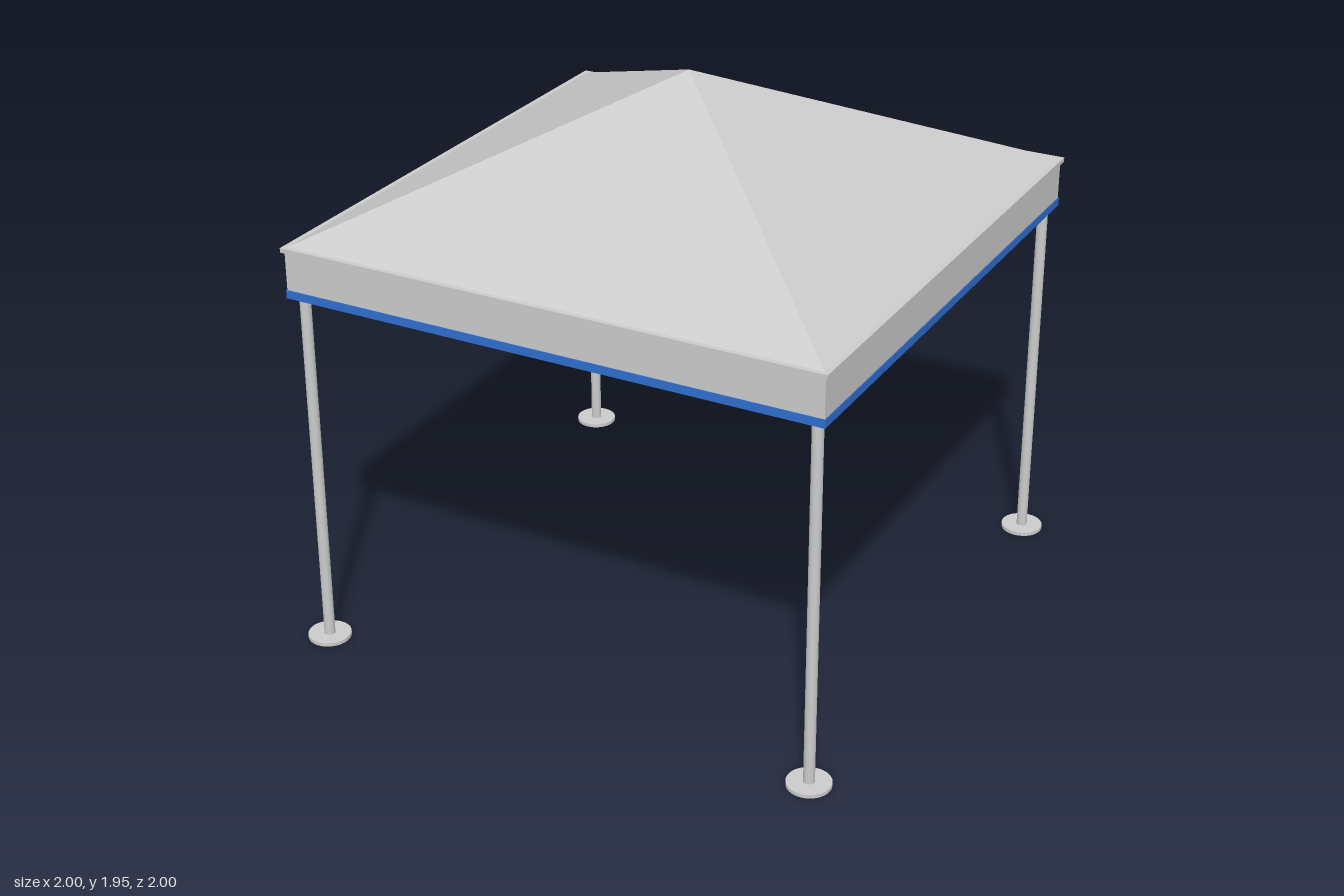
import * as THREE from 'three';

const grey = new THREE.MeshStandardMaterial({ color: 0xcccccc });
const canvas = new THREE.MeshStandardMaterial({ color: 0xcccccc, flatShading: true, side: THREE.DoubleSide });
const blue = new THREE.MeshStandardMaterial({ color: 0x2f6fd0 });

function part(name, geometry, material, x = 0, y = 0, z = 0) {
  const mesh = new THREE.Mesh(geometry, material);
  mesh.name = name;
  mesh.position.set(x, y, z);
  return mesh;
}

// Square band standing between y0 and y1, open in the middle
function squareBand(half, thickness, y0, y1) {
  const square = (Target, h) =>
    new Target([[-h, -h], [h, -h], [h, h], [-h, h]].map(([x, y]) => new THREE.Vector2(x, y)));
  const shape = square(THREE.Shape, half);
  shape.holes.push(square(THREE.Path, half - thickness));
  const geometry = new THREE.ExtrudeGeometry(shape, { depth: y1 - y0, bevelEnabled: false });
  return geometry.rotateX(-Math.PI / 2).translate(0, y0, 0);
}

export function createModel() {
  const model = new THREE.Group();
  model.name = 'canopyTent';

  // Hollow four-sided roof
  const eaveY = 1.475, apexY = 1.945, half = 0.965;
  const roof = new THREE.ConeGeometry(half * Math.SQRT2, apexY - eaveY, 4, 1, true);
  roof.rotateY(Math.PI / 4);
  model.add(part('roof', roof, canvas, 0, (eaveY + apexY) / 2, 0));

  // Eave trim, hanging valance and its coloured hem
  model.add(part('eaveTrim', squareBand(0.974, 0.02, 1.463, 1.479), grey));
  model.add(part('valance', squareBand(0.964, 0.015, 1.325, 1.465), grey));
  model.add(part('valanceHem', squareBand(0.967, 0.021, 1.3, 1.329), blue));

  // Legs with round foot plates
  const postTop = 1.305, inset = 0.925;
  const postGeometry = new THREE.CylinderGeometry(0.019, 0.019, postTop, 24);
  const footGeometry = new THREE.CylinderGeometry(0.075, 0.075, 0.013, 32);
  for (const sx of [-1, 1]) {
    for (const sz of [-1, 1]) {
      const leg = new THREE.Group();
      leg.name = (sz > 0 ? 'front' : 'back') + (sx > 0 ? 'Left' : 'Right') + 'Leg';
      leg.position.set(sx * inset, 0, sz * inset);
      leg.add(part('post', postGeometry, grey, 0, postTop / 2, 0));
      leg.add(part('footPlate', footGeometry, grey, 0, 0.0065, 0));
      model.add(leg);
    }
  }
  return model;
}
